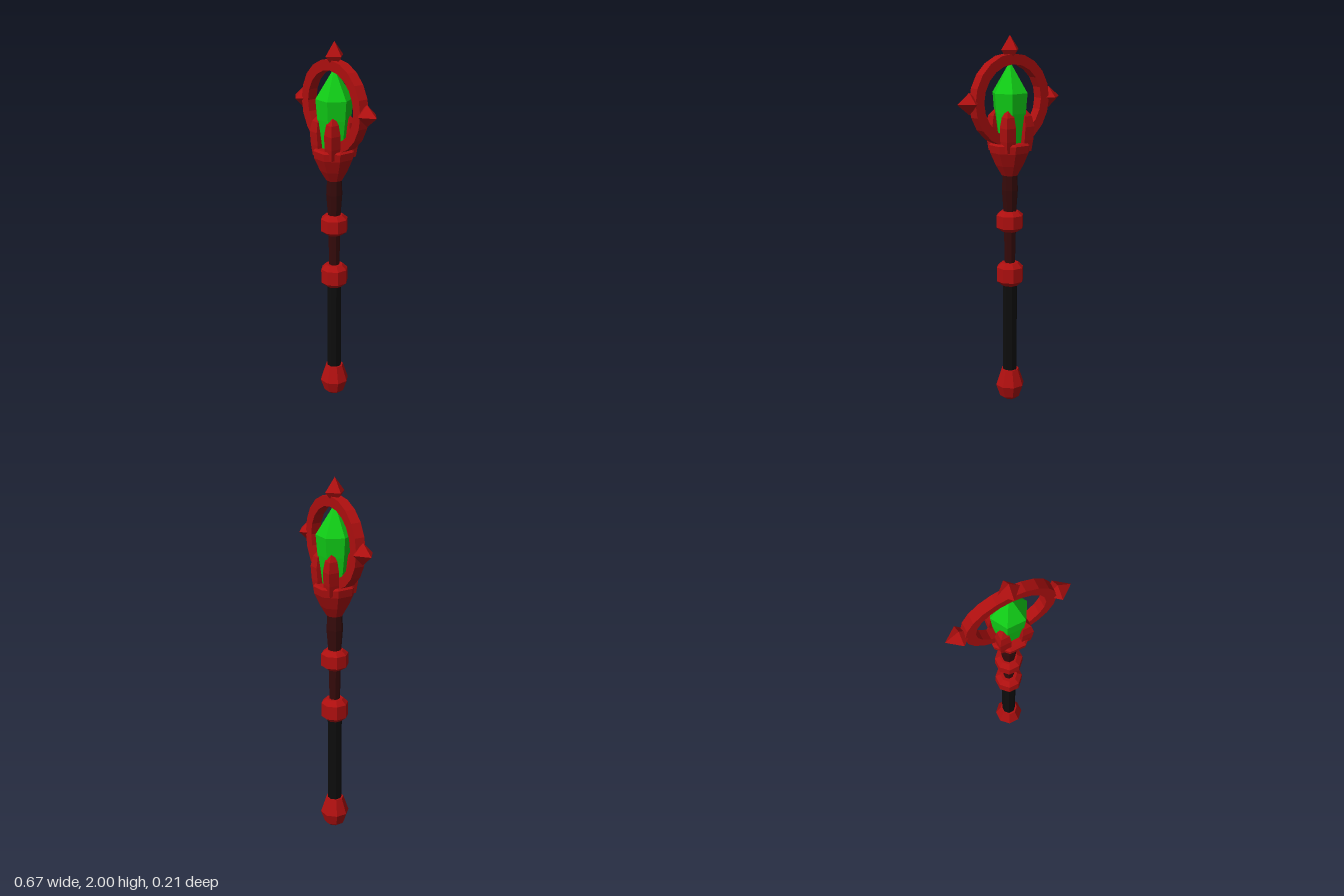
import * as THREE from 'three';

const flat = (name, color, metal) => {
  const m = new THREE.MeshStandardMaterial({ color, flatShading: true });
  m.name = name;
  return m;
};

export function createModel() {
  const red = flat('red metal', 0xae0f0f);
  const darkRed = flat('dark red shaft', 0x350a0a);
  const black = flat('black grip', 0x0d0d0d);
  const green = flat('green crystal', 0x10cc16);

  const model = new THREE.Group();
  model.name = 'sceptre';

  function add(name, geometry, material, x = 0, y = 0, z = 0) {
    const mesh = new THREE.Mesh(geometry, material);
    mesh.name = name;
    mesh.position.set(x, y, z);
    model.add(mesh);
    return mesh;
  }

  // Faceted turned part; profile is [half width across flats, height] from the bottom up
  function turned(profile, sides = 8) {
    const k = 1 / Math.cos(Math.PI / sides);
    const points = profile.map(([r, y]) => new THREE.Vector2(r * k, y));
    return new THREE.LatheGeometry(points, sides, Math.PI / sides);
  }

  // Handle, from pommel to upper shaft
  add('pommel', turned([[0, 0.01], [0.025, 0.014], [0.052, 0.035], [0.073, 0.1], [0.045, 0.19], [0, 0.19]]), red);
  add('grip', turned([[0, 0.17], [0.036, 0.17], [0.036, 0.68], [0, 0.68]]), black);
  add('middleShaft', turned([[0.026, 0.76], [0.031, 0.99]]), darkRed);
  add('upperShaft', turned([[0.031, 1.05], [0.041, 1.19], [0.036, 1.29]]), darkRed);

  // Bevelled knots
  for (const [name, y, h] of [['lowerKnot', 0.727, 0.064], ['upperKnot', 1.02, 0.056]]) {
    add(name, turned([[0, -h], [0.04, -h], [0.068, -h * 0.6], [0.068, h * 0.6], [0.043, h], [0, h]]), red, 0, y);
  }

  // Flaring cup
  add('cup', turned([[0, 1.27], [0.041, 1.27], [0.071, 1.325], [0.1, 1.395], [0.105, 1.435], [0.095, 1.445], [0, 1.445]]), red);

  // Six-sided crystal with side corners on the x axis
  add('crystal', turned([[0, 1.42], [0.055, 1.43], [0.077, 1.6], [0.085, 1.705], [0, 1.865]], 6), green);

  // Square-section ring
  const ringProfile = [[0.187, -0.028], [0.242, -0.028], [0.242, 0.028], [0.187, 0.028], [0.187, -0.028]]
    .map(([r, y]) => new THREE.Vector2(r, y));
  add('ring', new THREE.LatheGeometry(ringProfile, 20), red, 0, 1.665).rotation.x = Math.PI / 2;

  // Spikes around the ring
  const spikeProfile = [[0, -0.07], [0.057, 0], [0, 0.074]].map(([r, y]) => new THREE.Vector2(r, y));
  const spike = new THREE.LatheGeometry(spikeProfile, 4);
  add('topSpike', spike, red, 0, 1.926);
  for (const [name, s] of [['leftSpike', 1], ['rightSpike', -1]]) {
    add(name, spike, red, s * 0.261, 1.665).rotation.z = -s * Math.PI / 2;
  }

  // Claws: a box whose levels follow [height, centre offset, half width]
  const levels = [[1.4, 0.055, 0.025], [1.46, 0.058, 0.029], [1.53, 0.061, 0.03], [1.585, 0.058, 0.023], [1.625, 0.048, 0.006]];
  const claw = new THREE.BoxGeometry(2, 4, 2, 1, 4, 1);
  const p = claw.attributes.position;
  for (let i = 0; i < p.count; i++) {
    const [y, c, h] = levels[Math.round(p.getY(i) + 2)];
    p.setXYZ(i, c + p.getX(i) * h, y, c + p.getZ(i) * h);
  }
  claw.computeVertexNormals();
  for (let i = 0; i < 4; i++) {
    add('claw' + (i + 1), claw, red).rotation.y = i * Math.PI / 2;
  }

  // Stand the pommel on the ground
  model.children.forEach((part) => { if (part.name === 'pommel') part.position.y = -0.01; });
  return model;
}
